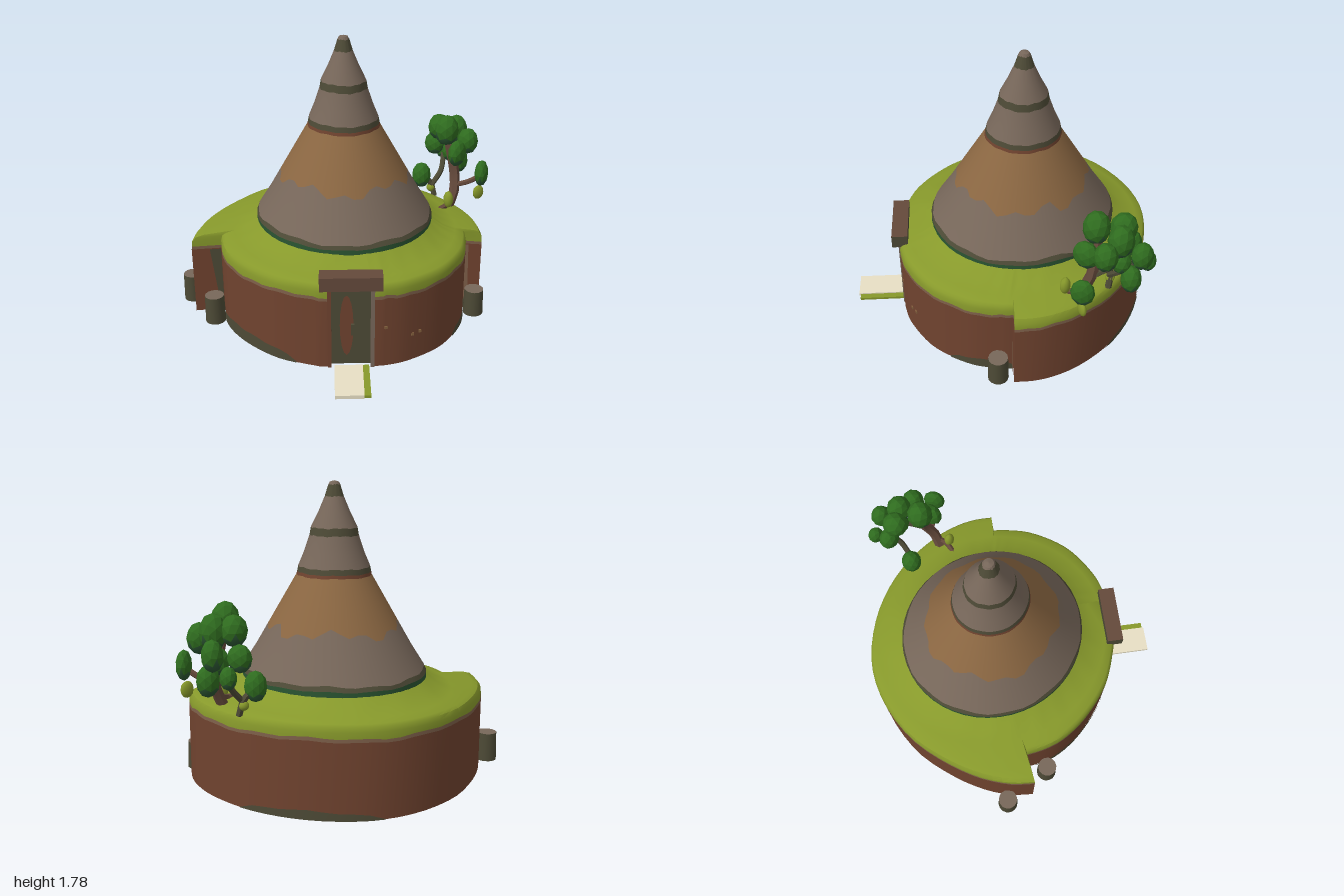
import * as THREE from 'three';
import { toCreasedNormals } from 'three/addons/utils/BufferGeometryUtils.js';

const paint = (name, color) => Object.assign(new THREE.MeshStandardMaterial({ color }), { name });
const CX = -0.02, CZ = -0.125; // roof axis

export function createModel() {
  const clay = paint('clay', 0x70432f), grass = paint('grass', 0x87992b), thatch = paint('thatch', 0x77675a),
    straw = paint('straw', 0x8b6742), moss = paint('moss', 0x4d4a36), darkGreen = paint('dark green', 0x2b5532),
    leaf = paint('leaf', 0x2f6c1f), stone = paint('pale stone', 0xf0e8cc), timber = paint('timber', 0x64493b),
    dryEarth = paint('dry earth', 0x7d5f49);
  clay.side = moss.side = dryEarth.side = THREE.DoubleSide;
  leaf.flatShading = true;

  const root = new THREE.Group();
  const add = (name, geo, mat, parent = root, x = 0, y = 0, z = 0) => {
    const m = new THREE.Mesh(geo, mat);
    m.name = name;
    m.position.set(x, y, z);
    parent.add(m);
    return m;
  };
  const wave = (i, s = 0) => Math.sin(i * 1.7 + s) * 0.5 + Math.sin(i * 0.61 + s * 2) * 0.5;

  // Skin a stack of rings (arrays of [x, y, z]), lowest first
  const loft = (rings, closed = true, crease = 0.6) => {
    const n = rings[0].length, idx = [];
    for (let r = 0; r < rings.length - 1; r++) {
      for (let i = 0; i < (closed ? n : n - 1); i++) {
        const a = r * n + i, b = r * n + (i + 1) % n;
        idx.push(a, a + n, b, b, a + n, b + n);
      }
    }
    const g = new THREE.BufferGeometry();
    g.setAttribute('position', new THREE.Float32BufferAttribute(rings.flat(2), 3));
    g.setIndex(idx);
    return toCreasedNormals(g, crease);
  };

  // Spiral ground plan: wide back arc, stepped in to the front arc, with a door recess
  const arc = (pts, n) => new THREE.SplineCurve(pts.map(p => new THREE.Vector2(...p))).getPoints(n).map(p => [p.x, p.y]);
  const doorX = -0.28, doorZ = 0.615, turn = -0.37;
  const doorPoint = ([x, z]) => [doorX + x * Math.cos(turn) + z * Math.sin(turn), doorZ - x * Math.sin(turn) + z * Math.cos(turn)];
  const plan = [
    ...arc([[-0.97, -0.345], [-0.9, -0.48], [-0.78, -0.62], [-0.6, -0.76], [-0.35, -0.89], [-0.06, -0.94], [0.2, -0.9],
      [0.43, -0.77], [0.61, -0.59], [0.74, -0.37], [0.81, -0.13], [0.82, 0.05], [0.8, 0.18], [0.76, 0.29]], 40),
    ...arc([[0.66, 0.25], [0.62, 0.33], [0.51, 0.48], [0.3, 0.63], [0.05, 0.69], [-0.11, 0.68]], 24),
    ...[[0.12, 0], [0.12, -0.04], [-0.12, -0.04], [-0.12, 0]].map(doorPoint),
    ...arc([[-0.45, 0.545], [-0.64, 0.37], [-0.77, 0.13], [-0.82, -0.1], [-0.79, -0.3]], 20)
  ];
  // Ring of the plan, drawn in by t towards an ellipse of radius r
  const planRing = (t, y, wob = 0, r = 0.7) => plan.map(([x, z], i) => {
    const a = Math.atan2(z - CZ, x - CX);
    return [x + (CX + r * Math.cos(a) - x) * t, y + wob * wave(i), z + (CZ + r * 1.06 * Math.sin(a) - z) * t];
  });
  add('wall', loft([planRing(0, 0), planRing(0, 0.445, 0.008)]), clay);
  add('wallTrim', loft([planRing(0, 0.445, 0.008), planRing(0.01, 0.465, 0.01)]), dryEarth);
  add('grassTop', loft([planRing(0.01, 0.465, 0.01), planRing(0.02, 0.5), planRing(0.12, 0.528), planRing(0.3, 0.541),
    planRing(1, 0.556), planRing(1, 0.58, 0.004, 0.62), planRing(1, 0.63, 0, 0.546)]), grass);

  // Moss creeping up the wall foot
  for (const [from, to, h] of [[41, 53, 0.065], [73, 88, 0.075], [18, 28, 0.04]]) {
    const lo = [], hi = [];
    for (let i = from; i <= to; i++) {
      const x = CX + (plan[i][0] - CX) * 1.006, z = CZ + (plan[i][1] - CZ) * 1.006;
      lo.push([x, 0, z]);
      hi.push([x, 0.01 + h * Math.sqrt(Math.abs(Math.sin(Math.PI * (i - from) / (to - from)))) + 0.008 * wave(i), z]);
    }
    add('wallMoss', loft([lo, hi], false), moss);
  }
  // Stains in the inner corners of the two wall steps
  for (const [name, mat, from, to, foot, head] of [
    ['stepMoss', moss, 90, 0, [0.02, 0.12], [0.02, 0.4]],
    ['stepEarth', dryEarth, 40, 41, [0.7, 0.98], [0.8, 0.98]]
  ]) {
    const row = (span, y) => span.map(t => [
      plan[from][0] + (plan[to][0] - plan[from][0]) * t, y, plan[from][1] + (plan[to][1] - plan[from][1]) * t + 0.005]);
    add(name, loft([row(foot, 0), row(head, 0.44)], false), mat);
  }
  // Straw flecks in the clay
  for (const [x, y, z] of [[-0.09, 0.26, 0.672], [0.08, 0.175, 0.675], [0.13, 0.18, 0.668]])
    add('strawFleck', new THREE.BoxGeometry(0.018, 0.018, 0.03), straw, root, x, y, z);

  // Floor seen from below
  const floor = new THREE.ShapeGeometry(new THREE.Shape(plan.map(p => new THREE.Vector2(...p)))).rotateX(Math.PI / 2);
  add('floorRim', floor, grass, root, 0, 0.004, 0);
  add('floor', new THREE.CircleGeometry(0.78, 48).rotateX(Math.PI / 2), leaf, root, -0.05, 0, -0.15);

  // Conical roof in colour bands with ragged borders
  const profile = [[0.6, 0.55], [0.66, 0.55], [0.685, 0.535], [0.8, 0.463], [1.235, 0.218], [1.25, 0.217], [1.285, 0.21],
    [1.36, 0.178], [1.45, 0.148], [1.47, 0.142], [1.51, 0.136], [1.6, 0.092], [1.69, 0.055], [1.7, 0.051], [1.755, 0.036], [1.778, 0.024]];
  const radius = y => {
    const k = Math.max(1, profile.findIndex(p => p[0] >= y));
    const [y0, r0] = profile[k - 1], [y1, r1] = profile[k];
    return r0 + (r1 - r0) * (y - y0) / (y1 - y0);
  };
  const roofRing = ([y, wob]) => Array.from({ length: 48 }, (_, i) => {
    const a = i / 48 * Math.PI * 2, yy = y + wob * wave(i, y), r = radius(yy);
    return [CX + r * Math.cos(a), yy, CZ + r * 1.06 * Math.sin(a)];
  });
  const roof = new THREE.Group();
  roof.name = 'roof';
  root.add(roof);
  for (const [name, mat, rows] of [
    ['skirt', darkGreen, [[0.605, 0], [0.655, 0.006]]],
    ['eaveMoss', moss, [[0.655, 0.006], [0.68, 0.01]]],
    ['lowerThatch', thatch, [[0.68, 0.01], [0.8, 0], [0.93, 0.04]]],
    ['strawBand', straw, [[0.93, 0.04], [1.08, 0], [1.23, 0.003]]],
    ['redBand', clay, [[1.23, 0.003], [1.249, 0.003]]],
    ['lowerMossBand', moss, [[1.249, 0.003], [1.281, 0.004]]],
    ['middleThatch', thatch, [[1.281, 0.004], [1.36, 0], [1.45, 0], [1.465, 0.004]]],
    ['upperMossBand', moss, [[1.465, 0.004], [1.51, 0.004]]],
    ['upperThatch', thatch, [[1.51, 0.004], [1.6, 0], [1.69, 0.004]]],
    ['tip', moss, [[1.69, 0.004], [1.758, 0.004]]],
    ['tipShoulder', thatch, [[1.758, 0.004], [1.774, 0]]]
  ]) add(name, loft(rows.map(roofRing)), mat, roof);
  add('tipCap', new THREE.ConeGeometry(0.028, 0.008, 24), thatch, roof, CX, 1.777, CZ);

  // Doorway: recessed door, jambs, lintel and a stone path
  const door = new THREE.Group();
  door.name = 'doorway';
  door.position.set(doorX, 0, doorZ);
  door.rotation.y = turn;
  root.add(door);
  const box = (name, mat, w, h, d, x, y, z) => add(name, new THREE.BoxGeometry(w, h, d), mat, door, x, y, z);
  box('doorPanel', moss, 0.236, 0.53, 0.01, 0, 0.265, -0.036);
  const inlay = add('doorInlay', new THREE.CircleGeometry(0.5, 16), clay, door, -0.025, 0.26, -0.029);
  inlay.scale.set(0.08, 0.4, 1);
  box('doorHandle', moss, 0.022, 0.07, 0.02, 0.01, 0.24, -0.02);
  for (const s of [-1, 1]) box('jamb', s < 0 ? clay : thatch, 0.022, 0.53, 0.05, s * 0.125, 0.265, -0.015);
  box('lintel', [moss, moss, timber, moss, timber, moss], 0.36, 0.085, 0.1, 0, 0.57, -0.005);
  box('pathTurf', grass, 0.17, 0.016, 0.29, 0.02, 0.008, 0.155);
  box('pathStone', stone, 0.165, 0.022, 0.29, -0.015, 0.013, 0.165);

  // Stub posts around the wall
  for (const [x, z, h] of [[-0.94, -0.52, 0.18], [-0.88, -0.19, 0.18], [0.68, 0.36, 0.17]])
    add('post', new THREE.CylinderGeometry(0.06, 0.064, h, 14), [moss, thatch, moss], root, x, h / 2, z);

  // Twisted tree with two-tone faceted leaf clumps
  const tree = new THREE.Group();
  tree.name = 'tree';
  root.add(tree);
  for (const [r, mat, ...pts] of [
    [0.033, timber, [0.73, 0.53, -0.12], [0.78, 0.64, -0.13], [0.8, 0.75, -0.17], [0.77, 0.98, -0.21]],
    [0.018, timber, [0.79, 0.68, -0.14], [0.86, 0.71, -0.09], [0.92, 0.76, -0.04]],
    [0.02, moss, [0.8, 0.74, -0.17], [0.84, 0.8, -0.25], [0.89, 0.88, -0.36]],
    [0.02, moss, [0.74, 0.53, -0.33], [0.72, 0.62, -0.35], [0.66, 0.68, -0.36]],
    [0.018, moss, [0.72, 0.61, -0.34], [0.8, 0.7, -0.36], [0.85, 0.8, -0.42]],
    [0.018, timber, [0.76, 0.59, -0.12], [0.7, 0.57, -0.08], [0.62, 0.55, -0.07]]
  ]) {
    const curve = new THREE.CatmullRomCurve3(pts.map(p => new THREE.Vector3(...p)));
    add('branch', toCreasedNormals(new THREE.TubeGeometry(curve, 8, r, 6), 0.3), mat, tree);
  }
  // Faces below a clump's waist take the second material
  const clumpGeo = new THREE.IcosahedronGeometry(1, 1), heights = clumpGeo.attributes.position;
  for (let i = 0; i < heights.count; i += 3)
    clumpGeo.addGroup(i, 3, heights.getY(i) + heights.getY(i + 1) + heights.getY(i + 2) < -0.9 ? 1 : 0);
  const clump = (name, mats, [x, y, z, rx, ry, rz], i) => {
    const m = add(name, clumpGeo, mats, tree, x, y, z);
    m.scale.set(rx, ry, rz);
    m.rotation.y = i * 0.3;
  };
  [[0.75, 1.05, -0.21, 0.08, 0.105, 0.08], [0.87, 1.01, -0.3, 0.075, 0.105, 0.08], [0.79, 0.91, -0.13, 0.08, 0.09, 0.055],
    [0.93, 0.78, -0.04, 0.07, 0.09, 0.045], [0.78, 1.02, -0.37, 0.08, 0.09, 0.075], [0.93, 0.91, -0.41, 0.065, 0.09, 0.06],
    [0.88, 0.8, -0.49, 0.05, 0.065, 0.045], [0.78, 0.88, -0.43, 0.07, 0.08, 0.06], [0.65, 0.69, -0.36, 0.065, 0.09, 0.065],
    [0.86, 0.85, -0.32, 0.07, 0.08, 0.06], [0.93, 0.76, -0.35, 0.065, 0.09, 0.06], [0.9, 0.96, -0.19, 0.07, 0.09, 0.07]
  ].forEach((c, i) => clump('leafClump', [leaf, darkGreen], c, i));
  [[0.92, 0.64, -0.05, 0.04, 0.05, 0.02], [0.7, 0.62, -0.06, 0.03, 0.06, 0.035], [0.72, 0.59, -0.35, 0.03, 0.03, 0.03]]
    .forEach((c, i) => clump('youngLeaf', [grass, grass], c, i));
  return root;
}
